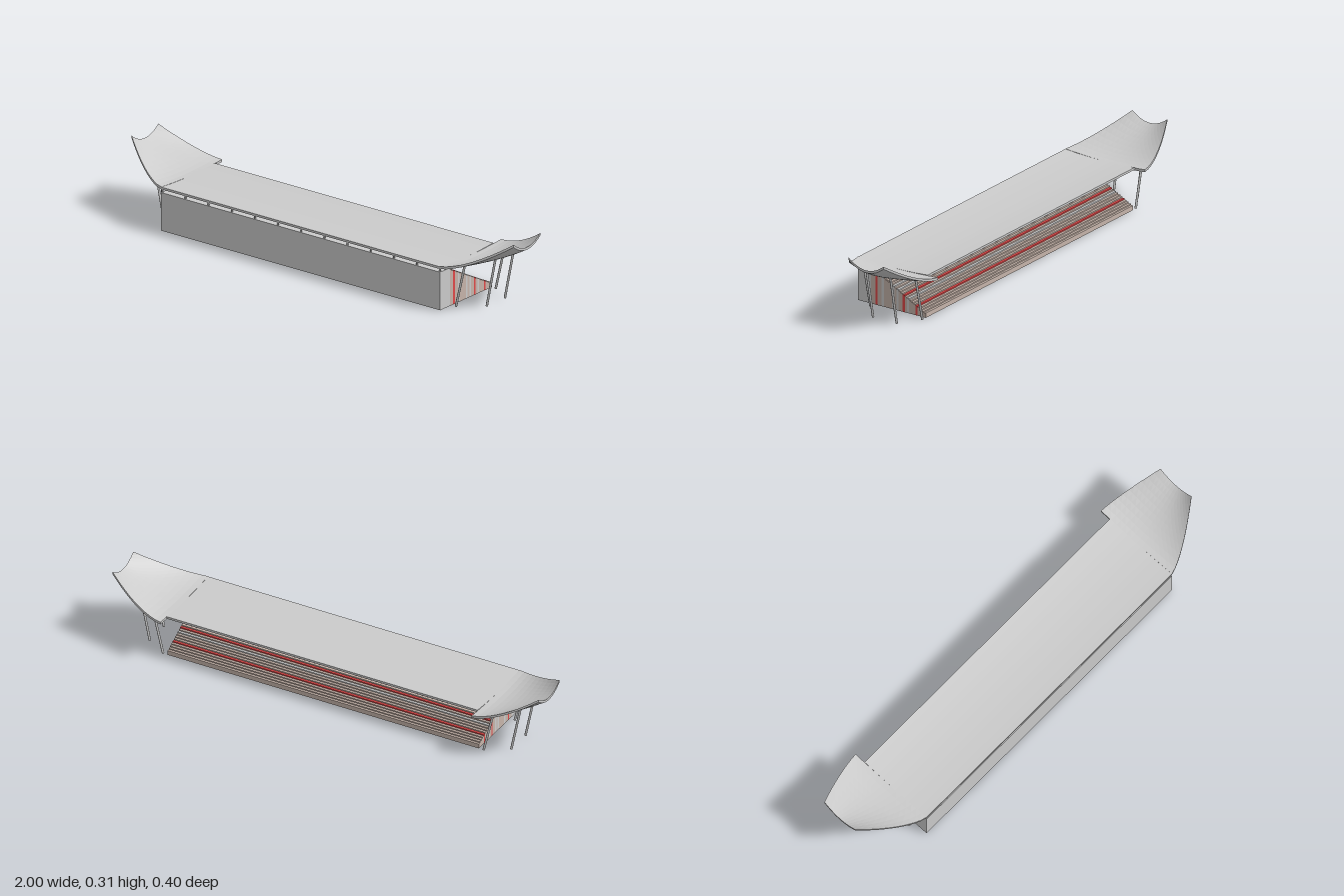
import * as THREE from 'three';

const GREY = new THREE.MeshStandardMaterial({ color: 0xcccccc });
const SHEET = new THREE.MeshStandardMaterial({ color: 0xcccccc, flatShading: true, side: THREE.DoubleSide });
const PINK = new THREE.MeshStandardMaterial({ color: 0xc6b4aa });
const RED = new THREE.MeshStandardMaterial({ color: 0xe04848 });
const HALF = 0.73;

// Box given by its minimum and maximum corners
function box(name, min, max, material = GREY) {
  const size = max.map((v, i) => v - min[i]);
  const mesh = new THREE.Mesh(new THREE.BoxGeometry(...size), material);
  mesh.position.set(...max.map((v, i) => (v + min[i]) / 2));
  mesh.name = name;
  return mesh;
}

// Sagging sheet lofted along +x through sections { x, back, front, y, sag }
function sheet(name, sections, thickness, n = 14) {
  const pos = [], idx = [], ring = 2 * (n + 1);
  for (const s of sections) {
    for (let j = 0; j < ring; j++) {
      const top = j <= n;
      const u = (top ? j : ring - 1 - j) / n;
      const v = 2 * u - 1;
      pos.push(s.x, s.y - s.sag * (1 - v * v) - (top ? 0 : thickness), s.back + (s.front - s.back) * u);
    }
  }
  const quad = (a, b, c, d) => idx.push(a, b, d, b, c, d);
  for (let i = 0; i < sections.length - 1; i++) {
    for (let j = 0; j < ring; j++) {
      const k = (j + 1) % ring, p = i * ring, q = p + ring;
      quad(p + j, p + k, q + k, q + j);
    }
  }
  const last = (sections.length - 1) * ring;
  for (let j = 0; j < n; j++) {
    const a = j, b = j + 1, c = ring - 2 - j, d = ring - 1 - j;
    quad(last + a, last + b, last + c, last + d);
    quad(d, c, b, a);
  }
  let geo = new THREE.BufferGeometry();
  geo.setAttribute('position', new THREE.Float32BufferAttribute(pos, 3));
  geo.setIndex(idx);
  geo = geo.toNonIndexed();
  geo.computeVertexNormals();
  const mesh = new THREE.Mesh(geo, SHEET);
  mesh.name = name;
  return mesh;
}

// Upswept, tapering end of the roof
function wing(side) {
  const sections = [];
  for (let i = 0; i <= 10; i++) {
    const t = i / 10;
    sections.push({
      x: side * (HALF + (1 - HALF) * t),
      front: 0.2 - 0.145 * t ** 1.3,
      back: -0.2 + 0.08 * t ** 1.5,
      y: 0.192 + 0.116 * t ** 1.6,
      sag: 0.009 + 0.027 * t,
    });
  }
  if (side < 0) sections.reverse();
  return sheet(side > 0 ? 'leftRoofWing' : 'rightRoofWing', sections, 0.011);
}

// Round post between two points
function post(name, from, to, radius) {
  const a = new THREE.Vector3(...from), b = new THREE.Vector3(...to);
  const mesh = new THREE.Mesh(new THREE.CylinderGeometry(radius, radius, a.distanceTo(b), 12), GREY);
  mesh.position.copy(a).add(b).multiplyScalar(0.5);
  mesh.quaternion.setFromUnitVectors(new THREE.Vector3(0, 1, 0), b.sub(a).normalize());
  mesh.name = name;
  return mesh;
}

export function createModel() {
  const model = new THREE.Group();
  model.name = 'grandstand';

  // Front building: wall, deck and cross walls, open underneath
  const building = new THREE.Group();
  building.name = 'frontBuilding';
  building.add(box('frontWall', [-HALF, 0, 0.194], [HALF, 0.167, 0.2]));
  building.add(box('rearWall', [-HALF, 0, 0.135], [HALF, 0.167, 0.139]));
  building.add(box('deck', [-HALF, 0.161, 0.139], [HALF, 0.167, 0.194]));
  const bays = 12;
  for (let i = 0; i <= bays; i++) {
    const x = -HALF + 0.003 + ((2 * HALF - 0.006) * i) / bays;
    building.add(box('crossWall', [x - 0.003, 0, 0.139], [x + 0.003, 0.161, 0.194]));
    // Short struts carrying the roof
    building.add(box('frontStrut', [x - 0.003, 0.167, 0.193], [x + 0.003, 0.181, 0.198]));
    building.add(box('rearStrut', [x - 0.003, 0.167, 0.135], [x + 0.003, 0.176, 0.139]));
  }
  model.add(building);

  // Seating rows stepping down towards the back
  const seating = new THREE.Group();
  seating.name = 'seating';
  const rows = 26, depth = 0.275 / rows;
  for (let i = 0; i < rows; i++) {
    const z = 0.135 - i * depth;
    const material = [2, 15, 21].includes(i) ? RED : [5, 10, 12, 17].includes(i) ? GREY : PINK;
    seating.add(box('seatRow', [-HALF, 0, z - depth], [HALF, 0.158 - i * 0.0055, z], material));
  }
  model.add(seating);

  // Roof with its two upswept ends
  const span = { back: -0.15, front: 0.2, y: 0.191, sag: 0.008 };
  model.add(sheet('mainRoof', [{ x: -HALF, ...span }, { x: HALF, ...span }], 0.01));
  for (const side of [1, -1]) {
    model.add(wing(side));
    // Leaning posts under each wing
    for (const z of [0.123, -0.138])
      model.add(post('innerPost', [side * 0.752, 0, z], [side * 0.797, 0.186, z], 0.005));
    for (const z of [0.041, -0.078])
      model.add(post('outerPost', [side * 0.848, 0, z], [side * 0.892, 0.211, z], 0.005));
  }
  return model;
}
